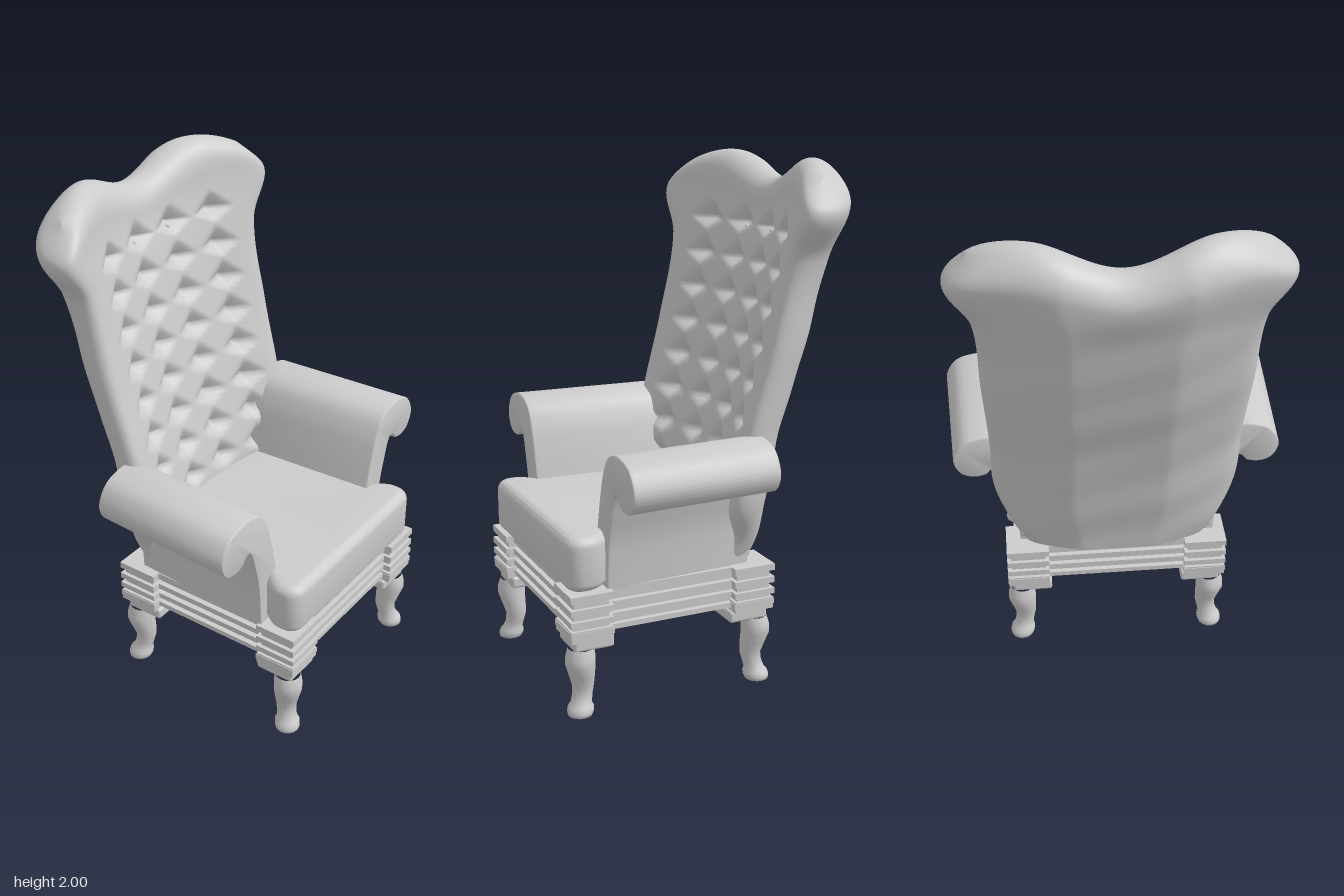
import * as THREE from 'three';
import { mergeVertices, toCreasedNormals } from 'three/addons/utils/BufferGeometryUtils.js';
import { RoundedBoxGeometry } from 'three/addons/geometries/RoundedBoxGeometry.js';

const material = new THREE.MeshStandardMaterial({ color: 0xcccccc, roughness: 0.8 });
const CX = 0.008, CZ = 0.17; // centre of the base

function add(parent, name, geometry, x = 0, y = 0, z = 0) {
  const mesh = new THREE.Mesh(geometry, material);
  mesh.name = name;
  mesh.position.set(x, y, z);
  parent.add(mesh);
  return mesh;
}

// Box given by its bottom and top height
const slab = (parent, name, w, d, y0, y1, x, z) =>
  add(parent, name, new THREE.BoxGeometry(w, y1 - y0, d), x, (y0 + y1) / 2, z);

// Backrest sections by height: half width, front z (centre, edge), back z (centre, edge)
const heights = [0.48, 0.58, 0.73, 1.0, 1.3, 1.65, 1.87, 2.0];
const sections = new THREE.CubicInterpolant(heights, [
  0.38, -0.08, -0.03, -0.25, -0.18,
  0.42, -0.11, -0.08, -0.27, -0.20,
  0.48, -0.13, -0.03, -0.305, -0.20,
  0.49, -0.20, -0.075, -0.365, -0.245,
  0.505, -0.275, -0.155, -0.455, -0.335,
  0.525, -0.36, -0.225, -0.545, -0.42,
  0.61, -0.40, -0.225, -0.588, -0.46,
  0.52, -0.40, -0.28, -0.585, -0.46,
], 5);

const tufts = [];
for (let row = 0; row < 8; row++)
  for (let col = 0; col < 4; col++) tufts.push([-0.3 + col * 0.203, 0.745 + row * 0.14]);

// Depth of the diamond-shaped dents around the buttons
function tuftDepth(x, y) {
  let depth = 0;
  for (const [tx, ty] of tufts) {
    const dy = y - ty;
    const k = 1 - Math.abs(x - tx) / 0.096 - Math.abs(dy) / (dy > 0 ? 0.085 : 0.045);
    if (k > 0) depth = Math.max(depth, 0.055 * k ** 1.25);
  }
  return depth;
}

// Point on the backrest: u across (-1..1), y0 nominal height, side +1 front or -1 back
function backPoint(u, y0, side) {
  const [w, frontMid, frontEdge, rearMid, rearEdge] = sections.evaluate(y0);
  const a = Math.abs(u);
  const dip = a < 0.6 ? -0.045 * (1 + Math.cos(Math.PI * a / 0.6)) : -0.06 * ((a - 0.6) / 0.4) ** 2;
  const y = y0 + dip * THREE.MathUtils.smoothstep(y0, 1.6, 2);
  const x = w * u;
  const front = THREE.MathUtils.lerp(frontMid, frontEdge, u * u);
  const rear = THREE.MathUtils.lerp(rearMid, rearEdge, (Math.max(0, a - 0.36) / 0.64) ** 1.2);
  const rim = THREE.MathUtils.clamp((y0 - 1.87) / 0.13, 0, 1);
  const round = Math.sqrt(Math.max(0, 1 - a ** 14)) * Math.sqrt(1 - rim ** 2.5);
  let z = (front + rear) / 2 + side * round * (front - rear) / 2;
  if (side > 0) z -= tuftDepth(x, y);
  else z += 0.002 * round * Math.sin(y * 24 + x * 7);
  return [x + CX * 0.7, y, z];
}

function backrestGeometry() {
  const nu = 100, nv = 150, pos = [], index = [];
  for (const side of [1, -1]) {
    const base = pos.length / 3;
    for (let j = 0; j <= nv; j++)
      for (let i = 0; i <= nu; i++) {
        const u = i === nu ? 1 : i === 0 ? -1 : Math.sin((i / nu - 0.5) * Math.PI);
        const v = Math.sin(j / nv * Math.PI / 2);
        pos.push(...backPoint(u, 0.48 + 1.52 * v, side));
      }
    for (let j = 0; j < nv; j++)
      for (let i = 0; i < nu; i++) {
        const a = base + j * (nu + 1) + i, b = a + 1, d = a + nu + 1, c = d + 1;
        if (side > 0) index.push(a, b, d, b, c, d);
        else index.push(a, d, b, b, d, c);
      }
  }
  let geo = new THREE.BufferGeometry();
  geo.setAttribute('position', new THREE.Float32BufferAttribute(pos, 3));
  geo.setIndex(index);
  geo = mergeVertices(geo, 1e-5);
  geo.computeVertexNormals();
  return geo;
}

// Scrolled arm: profile extruded backwards, drawn in towards the rear
function armGeometry(side) {
  const scroll = [[0.355, 0.8], [0.385, 0.9], [0.425, 0.97], [0.485, 1.0], [0.555, 1.0],
    [0.625, 0.973], [0.664, 0.905], [0.645, 0.845], [0.6, 0.822], [0.55, 0.828], [0.522, 0.855],
    [0.488, 0.85], [0.46, 0.77], [0.432, 0.65], [0.42, 0.48]];
  const shape = new THREE.Shape();
  shape.moveTo(side * 0.325, 0.48);
  shape.lineTo(side * 0.33, 0.69);
  shape.splineThru(scroll.map(([x, y]) => new THREE.Vector2(side * x, y)));
  const geo = new THREE.ExtrudeGeometry(shape, {
    depth: 0.579, curveSegments: 60, bevelThickness: 0.008, bevelSize: 0.006, bevelOffset: -0.002, bevelSegments: 3,
  });
  geo.translate(0, 0, -0.155);
  const p = geo.attributes.position;
  for (let i = 0; i < p.count; i++) p.setX(i, p.getX(i) - side * (0.43 - p.getZ(i)) * 0.05);
  return toCreasedNormals(geo, 0.6);
}

// Cushion with rounded front corners; its front lip is wider than the part between the arms
function cushionGeometry() {
  const b = 0.04, lip = 0.43 - b, body = 0.385 - b, front = -0.585 + b, back = 0.17 - b, r = 0.025;
  const shape = new THREE.Shape();
  shape.moveTo(-lip + r, front);
  shape.lineTo(lip - r, front);
  shape.quadraticCurveTo(lip, front, lip, front + r);
  shape.lineTo(lip, -0.44 - b - r);
  shape.quadraticCurveTo(lip, -0.44 - b, body, -0.44);
  shape.lineTo(body, back);
  shape.lineTo(-body, back);
  shape.lineTo(-body, -0.44);
  shape.quadraticCurveTo(-lip, -0.44 - b, -lip, -0.44 - b - r);
  shape.lineTo(-lip, front + r);
  shape.quadraticCurveTo(-lip, front, -lip + r, front);
  const geo = new THREE.ExtrudeGeometry(shape, {
    depth: 0.21 - 2 * b, curveSegments: 8, bevelThickness: b, bevelSize: b, bevelSegments: 8,
  });
  geo.rotateX(-Math.PI / 2);
  geo.translate(CX, 0.48 + b, 0);
  return toCreasedNormals(geo, 0.8);
}

// Cabriole leg: a lathe bent along the outward diagonal
function legGeometry(sx, sz) {
  const bend = new THREE.CubicInterpolant([0, 0.035, 0.1, 0.2, 0.27], [0.012, 0.006, -0.008, 0.006, 0], 1);
  const profile = [[0, 0], [0.046, 0], [0.05, 0.012], [0.049, 0.03], [0.04, 0.042], [0.038, 0.07], [0.041, 0.105],
    [0.049, 0.15], [0.056, 0.195], [0.056, 0.225], [0.05, 0.262]];
  const geo = new THREE.LatheGeometry(profile.map(([r, y]) => new THREE.Vector2(r, y)), 16);
  const p = geo.attributes.position;
  for (let i = 0; i < p.count; i++) {
    const s = bend.evaluate(p.getY(i))[0];
    p.setX(i, p.getX(i) + sx * s);
    p.setZ(i, p.getZ(i) + sz * s);
  }
  geo.computeVertexNormals();
  return geo;
}

export function createModel() {
  const chair = new THREE.Group();
  chair.name = 'wingChair';

  // Tufted back with its buttons
  add(chair, 'backrest', backrestGeometry());
  const buttons = new THREE.Group();
  buttons.name = 'buttons';
  chair.add(buttons);
  const buttonGeo = new THREE.SphereGeometry(0.009, 10, 8);
  for (const [x, y] of tufts) {
    const p = backPoint(x / sections.evaluate(y)[0], y, 1);
    add(buttons, 'button', buttonGeo, p[0], p[1], p[2]);
  }

  add(chair, 'seatCushion', cushionGeometry());
  add(chair, 'leftArm', armGeometry(1));
  add(chair, 'rightArm', armGeometry(-1));

  // Grooved base frame
  const base = new THREE.Group();
  base.name = 'base';
  chair.add(base);
  const ledges = [[0.455, 0.48], [0.405, 0.428], [0.36, 0.382], [0.318, 0.338]];
  slab(base, 'frameCore', 0.78, 0.735, 0.32, 0.478, CX, CZ);
  for (const [y0, y1] of ledges) slab(base, 'railSlat', 0.825, 0.775, y0, y1, CX, CZ);

  // Corner posts, leg caps and legs
  for (const sx of [1, -1])
    for (const sz of [1, -1]) {
      const corner = new THREE.Group();
      corner.name = (sz > 0 ? 'front' : 'back') + (sx > 0 ? 'Left' : 'Right') + 'Corner';
      corner.position.set(CX + sx * 0.361, 0, CZ + sz * 0.334);
      base.add(corner);
      slab(corner, 'postCore', 0.14, 0.14, 0.3, 0.479, 0, 0);
      for (const [y0, y1] of ledges) slab(corner, 'postSlab', 0.17, 0.17, y0, y1 + 0.001, 0, 0);
      slab(corner, 'postFoot', 0.165, 0.165, 0.3, 0.345, 0, 0);
      add(corner, 'legCap', new RoundedBoxGeometry(0.16, 0.048, 0.16, 3, 0.012), -sx * 0.014, 0.279, -sz * 0.014);
      add(corner, 'leg', legGeometry(sx, sz), sx * 0.026, 0, sz * 0.026);
    }
  return chair;
}
